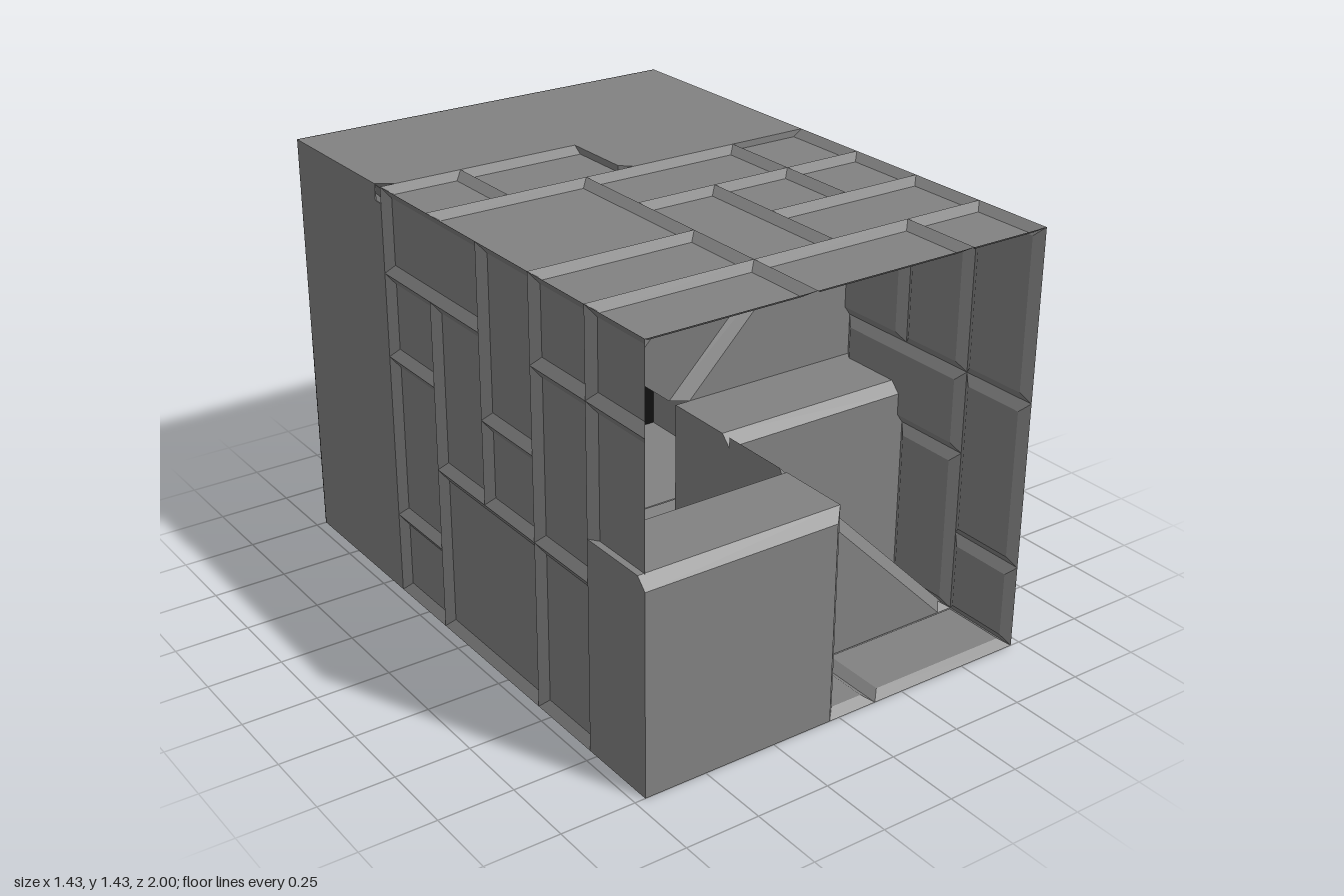
import * as THREE from 'three';
import { mergeGeometries } from 'three/addons/utils/BufferGeometryUtils.js';
import { ConvexGeometry } from 'three/addons/geometries/ConvexGeometry.js';

const C = 2 / 7;          // cell size; also the depth of one spiral step
const R = 2.5 * C;        // half width of the tunnel
const BACK = 1 - 5 * C;   // where the tiled walls end
const BEVEL = 0.036;      // chamfer on the square steps
const DIAG = 0.055;       // chamfer on the diagonal edges, along an axis

// Tile layouts: rows run from front to back, equal letters form one tile
const WALLS = {
  topWall: ['aabbc', 'ddeff', 'hhegi', 'hhjjl', 'mnnol'],
  leftWall: ['aabbc', 'ddeff', 'ggehh', 'ggjjk', 'lmmnk'],
  bottomWall: ['aabbb', 'ccdee', 'ccdfg', 'hhifg', 'jjikk'],
  rightWall: ['aabbc', 'ddeef', 'gghii', 'ggjjk', 'lmmnk'],
};

// One tile: a shallow recessed tray with a sloping rim
function trayGeometry(i0, k0, i1, k1) {
  const rim = 0.032, depth = 0.022;
  const ring = (inset, y) => {
    const x0 = -R + C * i0 + inset, x1 = -R + C * i1 - inset;
    const z0 = 1 - C * k0 - inset, z1 = 1 - C * k1 + inset;
    return [[x0, y, z0], [x1, y, z0], [x1, y, z1], [x0, y, z1]];
  };
  const o = ring(0, R), n = ring(rim, R - depth);
  const pos = [];
  const quad = (a, b, c, d) => pos.push(...a, ...b, ...c, ...a, ...c, ...d);
  quad(...n);
  for (let s = 0; s < 4; s++) {
    const t = (s + 1) % 4;
    quad(o[s], o[t], n[t], n[s]);
  }
  const g = new THREE.BufferGeometry();
  g.setAttribute('position', new THREE.Float32BufferAttribute(pos, 3));
  g.computeVertexNormals();
  return g;
}

// All tiles of one wall, built as the top wall
function wallGeometry(rows) {
  const tiles = new Map();
  rows.forEach((row, k) => [...row].forEach((id, i) => {
    const t = tiles.get(id) ?? [i, k, i + 1, k + 1];
    tiles.set(id, [Math.min(t[0], i), Math.min(t[1], k), Math.max(t[2], i + 1), Math.max(t[3], k + 1)]);
  }));
  return mergeGeometries([...tiles.values()].map((t) => trayGeometry(...t)));
}

// Prism one cell deep whose front outline is chamfered
function stepGeometry(outline, front) {
  const at = (pts, z) => pts.map(([x, y]) => new THREE.Vector3(x, y, z));
  return new ConvexGeometry([...at(outline, -C), ...at(outline, -BEVEL), ...at(front, 0)]);
}

export function createModel() {
  const group = new THREE.Group();
  const grey = new THREE.MeshStandardMaterial({ color: 0x818181, flatShading: true });
  const sheet = new THREE.MeshStandardMaterial({ color: 0x818181, flatShading: true, side: THREE.DoubleSide });
  const black = new THREE.MeshStandardMaterial({ color: 0x0f0f0f, flatShading: true });
  const body = new THREE.Group();
  body.name = 'tunnelBlock';
  body.position.y = R;
  group.add(body);

  const add = (name, geometry, material) => {
    const mesh = new THREE.Mesh(geometry, material);
    mesh.name = name;
    body.add(mesh);
    return mesh;
  };

  // Tiled walls around the open front part
  Object.entries(WALLS).forEach(([name, rows], q) => {
    add(name, wallGeometry(rows), sheet).rotation.z = -q * Math.PI / 2;
  });

  // Spiral of square and triangular steps winding backwards
  const square = [[-R, -R], [0, -R], [0, 0], [-R, 0]];
  const triangle = [[0, 0], [0, -R], [R, -R]];
  for (let i = 0; i < 7; i++) {
    let geometry;
    if (i % 2) {
      geometry = stepGeometry(triangle, [[0, -DIAG], [0, -R], [R - DIAG, -R]]);
    } else {
      const top = i === 0 ? -BEVEL : 0; // the first step is chamfered on two edges
      geometry = stepGeometry(square, [[-R, -R], [-BEVEL, -R], [-BEVEL, top], [-R, top]]);
    }
    const step = add(i % 2 ? 'triangularStep' : 'squareStep', geometry, grey);
    step.rotation.z = Math.floor(i / 2) * Math.PI / 2;
    step.position.z = 1 - i * C;
  }

  // Plain rear casing, closed by a black back plate
  const T = 0.004, PLATE = -1 + T;
  const panel = (name, material, x0, x1, y0, y1, z0, z1) => {
    const g = new THREE.BoxGeometry(x1 - x0, y1 - y0, z1 - z0);
    add(name, g, material).position.set((x0 + x1) / 2, (y0 + y1) / 2, (z0 + z1) / 2);
  };
  panel('rearLeftPanel', grey, R - T, R, -R, R, PLATE, BACK);
  panel('rearRightPanel', grey, -R, -R + T, -R, R, PLATE, BACK - BEVEL);
  panel('rearRightPanelEdge', grey, -R, -R + T, -R, R - DIAG, BACK - BEVEL, BACK);
  panel('rearBottomPanel', grey, -R, R, -R, -R + T, PLATE, BACK);
  panel('rearTopPanel', grey, 0, R, R - T, R, PLATE, BACK);
  panel('rearTopCornerPanel', grey, -R, 0, R - T, R, PLATE, BACK - C);
  // The last step stops short of the plate by nothing, so the plate sits just behind it
  panel('backPlate', black, -R, R, -R, R, -1 - 0.001, PLATE);

  return group;
}
